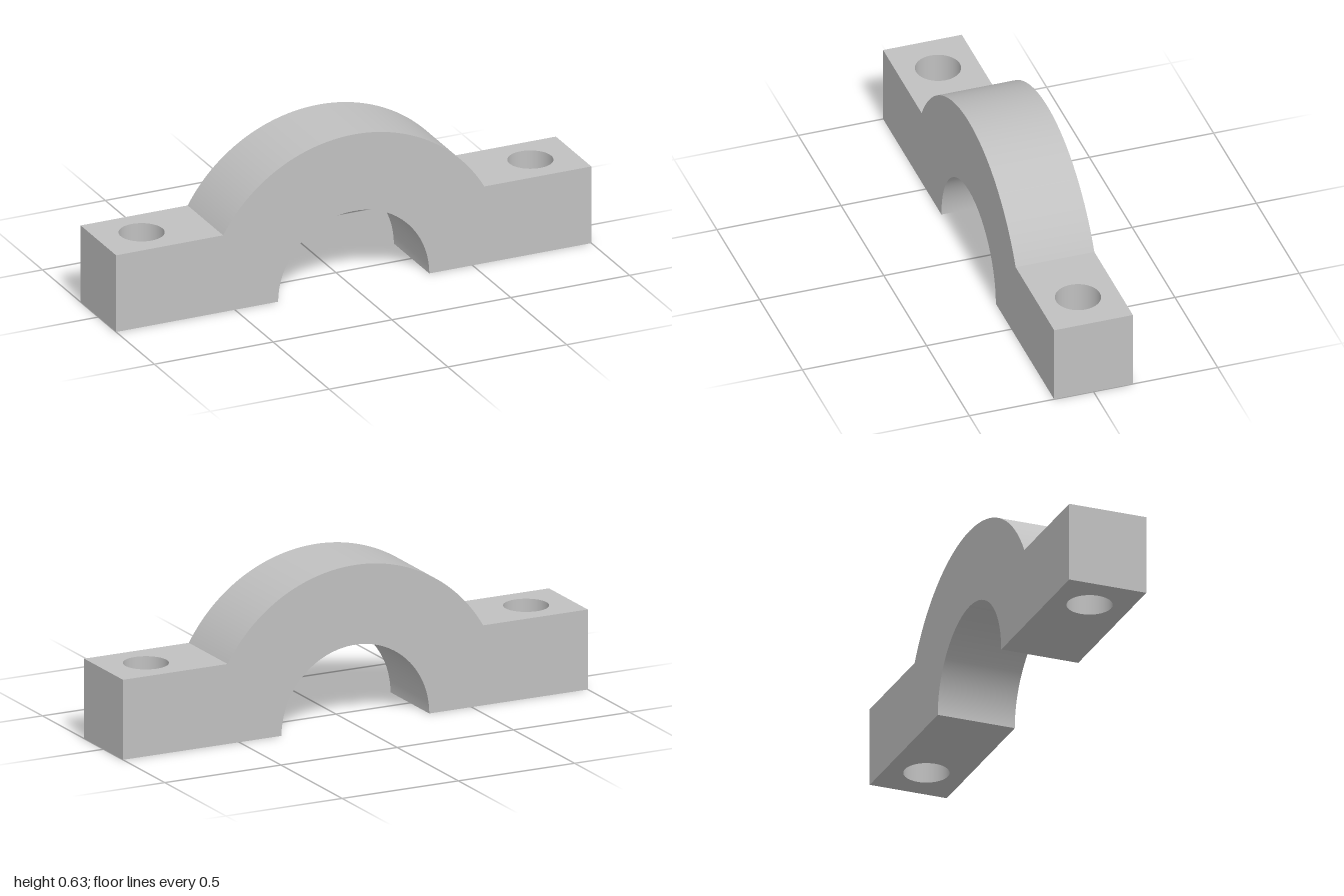
import * as THREE from 'three';
import { mergeGeometries } from 'three/addons/utils/BufferGeometryUtils.js';

const OUTER = 0.635;   // crown radius
const INNER = 0.318;   // saddle radius
const H = 0.318;       // foot height
const D = 0.317;       // depth
const BORE = 0.088;    // bolt hole radius
const BORE_X = 0.818;
const SEG = 64;        // segments per arc
const EDGE = Math.sqrt(OUTER * OUTER - H * H); // where the crown meets the foot

// Turn a surface inside out, for hollow walls
function flip(geo) {
  const index = geo.index.array;
  for (let i = 0; i < index.length; i += 3) {
    [index[i], index[i + 1]] = [index[i + 1], index[i]];
  }
  const n = geo.attributes.normal.array;
  for (let i = 0; i < n.length; i++) n[i] = -n[i];
  return geo;
}

// Open arc wall along z, spanning +-half radians about straight up
const arcWall = (radius, half) =>
  new THREE.CylinderGeometry(radius, radius, D, SEG, 1, true, -half, half * 2).rotateX(-Math.PI / 2);

// Rectangle from x0 to x1 with a bolt hole, facing up or down
function pad(x0, x1, holeX, y, up) {
  const d = D / 2;
  const shape = new THREE.Shape([
    new THREE.Vector2(x0, -d), new THREE.Vector2(x1, -d),
    new THREE.Vector2(x1, d), new THREE.Vector2(x0, d),
  ]);
  shape.holes.push(new THREE.Path().absarc(holeX, 0, BORE, 0, Math.PI * 2, true));
  return new THREE.ShapeGeometry(shape, SEG / 2)
    .rotateX(up ? -Math.PI / 2 : Math.PI / 2).translate(0, y, 0);
}

// Outline of the front and back faces
function profile() {
  const s = new THREE.Shape();
  const a = Math.asin(H / OUTER);
  s.moveTo(INNER, 0);
  s.lineTo(1, 0);
  s.lineTo(1, H);
  s.lineTo(EDGE, H);
  s.absarc(0, 0, OUTER, a, Math.PI - a, false);
  s.lineTo(-1, H);
  s.lineTo(-1, 0);
  s.lineTo(-INNER, 0);
  s.absarc(0, 0, INNER, Math.PI, 0, true);
  return new THREE.ShapeGeometry(s, SEG / 2);
}

export function createModel() {
  const group = new THREE.Group();
  group.name = 'bearingCap';
  const metal = new THREE.MeshStandardMaterial({ color: 0xc0c0c0 });
  metal.name = 'grey metal';

  // Front and back faces, crown and saddle
  const faces = [
    profile().translate(0, 0, D / 2),
    profile().rotateY(Math.PI).translate(0, 0, -D / 2),
    arcWall(OUTER, Math.acos(H / OUTER)),
    flip(arcWall(INNER, Math.PI / 2)),
  ];

  // Feet: top, underside, end wall and bolt hole on each side
  for (const side of [-1, 1]) {
    const span = (inner) => (side > 0 ? [inner, 1] : [-1, -inner]);
    faces.push(
      pad(...span(EDGE), side * BORE_X, H, true),
      pad(...span(INNER), side * BORE_X, 0, false),
      new THREE.PlaneGeometry(D, H).rotateY(side * Math.PI / 2).translate(side, H / 2, 0),
      flip(new THREE.CylinderGeometry(BORE, BORE, H, SEG, 1, true)).translate(side * BORE_X, H / 2, 0),
    );
  }

  const body = new THREE.Mesh(mergeGeometries(faces), metal);
  body.name = 'capBody';
  group.add(body);
  return group;
}
